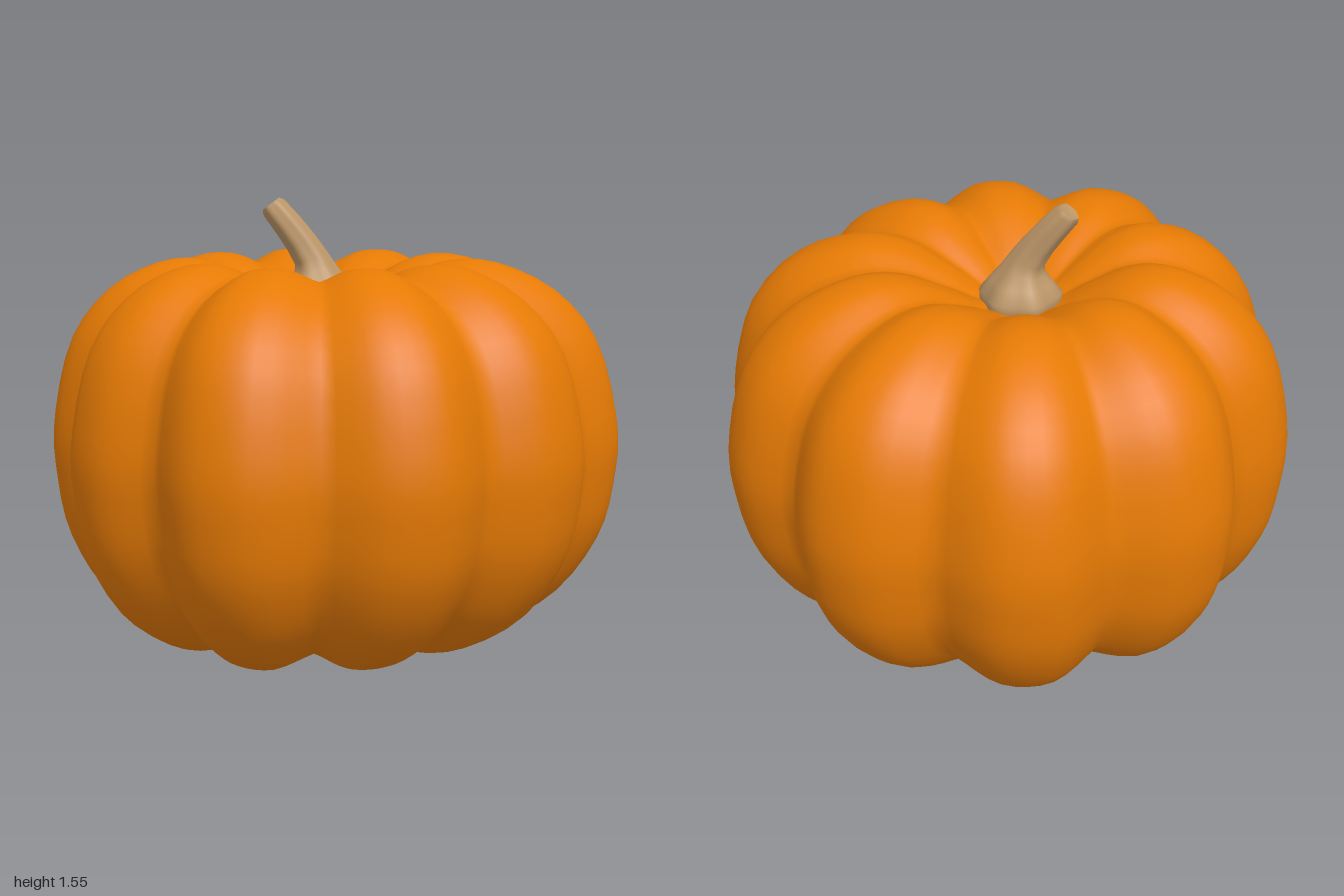
import * as THREE from 'three';
import { mergeVertices } from 'three/addons/utils/BufferGeometryUtils.js';

const rind = new THREE.MeshStandardMaterial({ color: 0xe67a04 });
rind.name = 'orange rind';
const wood = new THREE.MeshStandardMaterial({ color: 0xbc9668 });
wood.name = 'dry stem';

// Ribbed body: a lathe whose surface is pulled in along ten grooves
function bodyGeometry() {
  const profile = new THREE.SplineCurve([
    [0, 0.11], [0.14, 0.09], [0.28, 0.045], [0.46, 0.015], [0.64, 0.055], [0.82, 0.18], [0.945, 0.38],
    [0.99, 0.58], [0.995, 0.78], [0.925, 1.06], [0.78, 1.24], [0.58, 1.335], [0.41, 1.335],
    [0.25, 1.262], [0.13, 1.19], [0, 1.17],
  ].map(([r, y]) => new THREE.Vector2(r, y)));
  const points = profile.getPoints(48);
  points.forEach((p) => { p.x = Math.max(p.x, 0); });
  const lathe = new THREE.LatheGeometry(points, 120);
  const lobes = [0.995, 0.965, 1.01, 1.045, 0.99, 1.0, 1.01, 1.035, 1.02, 0.99];
  const pos = lathe.attributes.position;
  for (let i = 0; i < pos.count; i++) {
    const x = pos.getX(i), y = pos.getY(i), z = pos.getZ(i);
    const r = Math.hypot(x, z);
    const turn = ((Math.atan2(z, x) / (Math.PI * 2)) * 10 + 10) % 10;
    const k = Math.floor(turn), f = turn - k;
    const size = THREE.MathUtils.lerp(lobes[k % 10], lobes[(k + 1) % 10], THREE.MathUtils.smoothstep(f, 0, 1));
    // 0 in the middle of a lobe, 1 in a groove with a softened floor
    const u = 1 - Math.abs(f - 0.5) * 2;
    const groove = (u * u + THREE.MathUtils.smoothstep(u, 0.2, 1)) * 0.5 * THREE.MathUtils.smoothstep(r, 0.05, 0.35);
    const s = size * (1 - 0.1 * groove);
    // both dimples sit a little off the middle
    const shift = (1 - Math.min(r, 1)) * (y > 0.68 ? -0.06 : -0.11);
    pos.setXYZ(i, x * s + shift, 0.68 + (y - 0.68) * (1 - 0.07 * groove), z * s);
  }
  lathe.deleteAttribute('normal');
  lathe.deleteAttribute('uv');
  const geometry = mergeVertices(lathe, 1e-4);
  geometry.computeVertexNormals();
  return geometry;
}

// Loft through tilted, ribbed rings: [x, y, radius, tilt, rib depth]
function loft(rings, ribs, sides = 42) {
  const verts = [], index = [];
  rings.forEach(([x, y, r, tilt, rib], i) => {
    for (let j = 0; j < sides; j++) {
      const a = (j / sides) * Math.PI * 2;
      const q = r * (1 + rib * Math.cos(ribs * a + 0.6));
      const c = q * Math.cos(a);
      verts.push(x + c * Math.cos(tilt), y + c * Math.sin(tilt), -0.01 + q * Math.sin(a));
      if (i === 0) continue;
      const n = (j + 1) % sides, lo = (i - 1) * sides, hi = i * sides;
      index.push(lo + j, hi + j, hi + n, lo + j, hi + n, lo + n);
    }
  });
  const geometry = new THREE.BufferGeometry();
  geometry.setAttribute('position', new THREE.Float32BufferAttribute(verts, 3));
  geometry.setIndex(index);
  geometry.computeVertexNormals();
  return geometry;
}

export function createModel() {
  const group = new THREE.Group();
  group.name = 'pumpkin';
  const add = (name, geometry, material) => {
    const mesh = new THREE.Mesh(geometry, material);
    mesh.name = name;
    group.add(mesh);
  };

  add('body', bodyGeometry(), rind);

  // Flared foot, curved stalk and a cut tip with a worn edge
  add('stem', loft([
    [-0.06, 1.14, 0.11, 0, 0.04],
    [-0.06, 1.18, 0.134, 0, 0.05],
    [-0.06, 1.22, 0.135, 0, 0.05],
    [-0.063, 1.265, 0.102, 0.05, 0.05],
    [-0.07, 1.305, 0.073, 0.2, 0.04],
    [-0.085, 1.345, 0.059, 0.4, 0.04],
    [-0.12, 1.4, 0.053, 0.55, 0.04],
    [-0.165, 1.46, 0.049, 0.62, 0.04],
    [-0.215, 1.521, 0.044, 0.65, 0.04],
    [-0.225, 1.533, 0.035, 0.65, 0.04],
    [-0.225, 1.533, 0.035, 0.65, 0.04],
    [-0.222, 1.529, 0, 0.65, 0],
  ], 6), wood);

  // Blossom end under the body
  add('blossomEnd', loft([
    [-0.11, 0, 0, 0, 0],
    [-0.11, 0, 0.034, 0, 0.05],
    [-0.11, 0.012, 0.042, 0, 0.05],
    [-0.11, 0.035, 0.052, 0, 0.06],
    [-0.11, 0.055, 0.09, 0, 0.07],
    [-0.11, 0.075, 0.125, 0, 0.07],
    [-0.11, 0.13, 0.12, 0, 0.07],
  ], 7), wood);

  return group;
}
